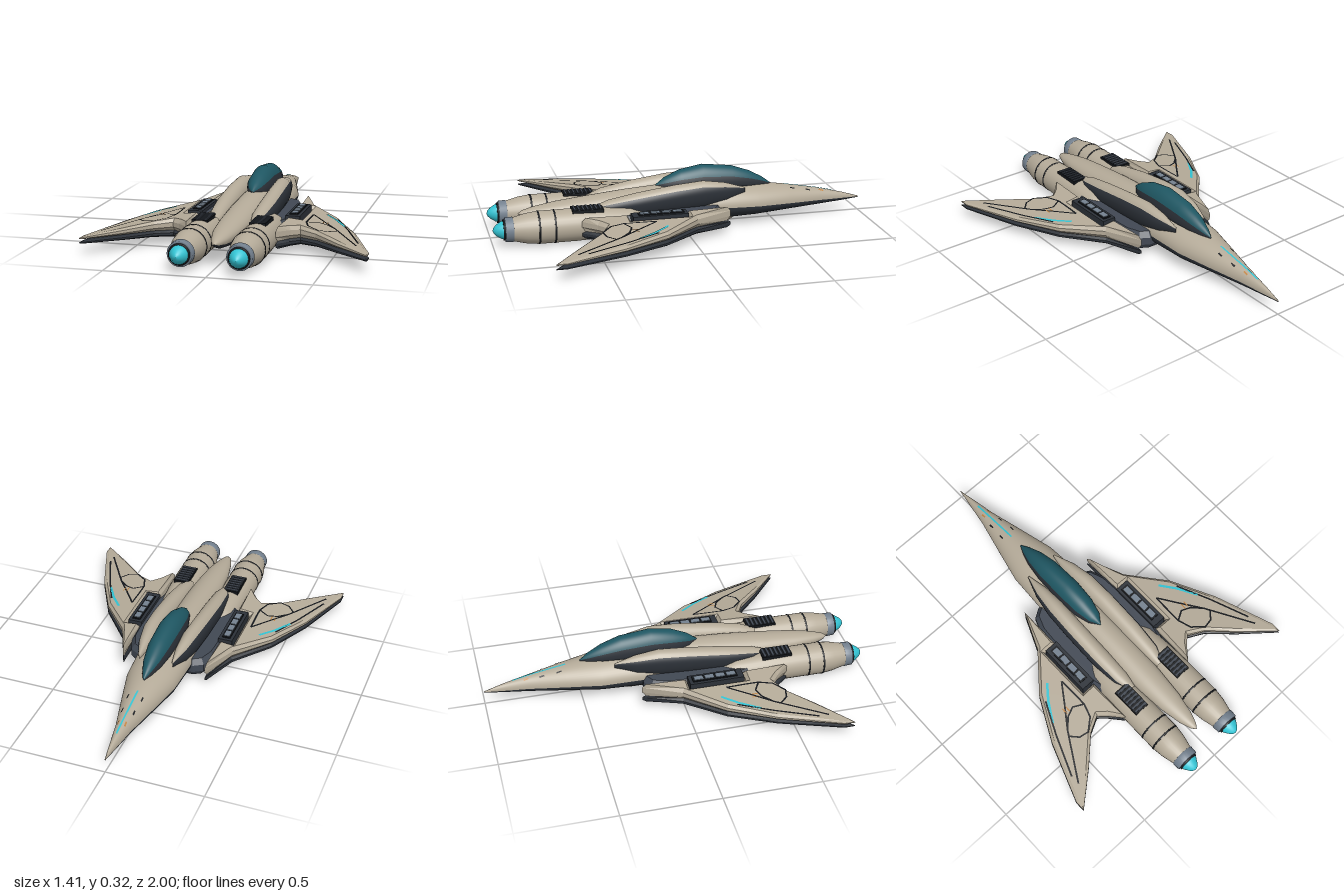
import * as THREE from 'three';

const mat = (name, color) => Object.assign(new THREE.MeshStandardMaterial({ color }), { name });
const M = {
  hull: mat('warm grey hull', 0xb5ab99),
  dark: mat('dark underside', 0x2c3138),
  slate: mat('slate panel', 0x414853),
  glass: mat('teal canopy', 0x1f5763),
  glow: mat('cyan glow', 0x33c3d3),
  line: mat('black seam', 0x14171b),
  steel: mat('blue steel', 0x74818f),
  orange: mat('orange mark', 0xc08545),
};
const lerp = THREE.MathUtils.lerp;

// Mirror a geometry across x = 0, keeping faces outward
function mirrored(geo) {
  const g = geo.index ? geo.toNonIndexed() : geo.clone();
  g.scale(-1, 1, 1);
  for (const a of Object.values(g.attributes)) {
    const n = a.itemSize, v = a.array;
    for (let i = 0; i < v.length; i += 3 * n)
      for (let k = 0; k < n; k++) [v[i + n + k], v[i + 2 * n + k]] = [v[i + 2 * n + k], v[i + n + k]];
  }
  return g;
}

// Skin over stations [z, centreX, halfWidth, top, mid, bottom], between two angles in degrees
function loft(stations, from, to, seg = 16) {
  const pos = [], idx = [];
  for (const [z, cx, hw, top, mid, bot] of stations)
    for (let j = 0; j <= seg; j++) {
      const a = THREE.MathUtils.degToRad(lerp(from, to, j / seg)), s = Math.sin(a);
      pos.push(cx + hw * Math.cos(a), mid + (s > 0 ? top - mid : mid - bot) * s, z);
    }
  for (let i = 0; i < stations.length - 1; i++)
    for (let j = 0; j < seg; j++) {
      const a = i * (seg + 1) + j, c = a + seg + 1;
      idx.push(a, a + 1, c, a + 1, c + 1, c);
    }
  return surface(pos, idx);
}

function surface(pos, idx) {
  const g = new THREE.BufferGeometry();
  g.setAttribute('position', new THREE.Float32BufferAttribute(pos, 3));
  g.setIndex(idx);
  g.computeVertexNormals();
  return g;
}

// Flat line along [x, z] points, lying on a height function
function ribbon(pts, width, height) {
  const pos = [], idx = [];
  pts.forEach(([x, z], i) => {
    const p = pts[Math.max(i - 1, 0)], q = pts[Math.min(i + 1, pts.length - 1)];
    const dx = q[0] - p[0], dz = q[1] - p[1], k = width / 2 / Math.hypot(dx, dz);
    for (const s of [1, -1]) {
      const px = x - dz * k * s, pz = z + dx * k * s;
      pos.push(px, height(px, pz) + 0.003, pz);
    }
    if (i) idx.push(2 * i - 2, 2 * i, 2 * i - 1, 2 * i - 1, 2 * i, 2 * i + 1);
  });
  return surface(pos, idx);
}

// Chamfered slab with an [x, z] outline and heights that depend on x
function slab(outline, top, bottom, bevel = 0.014) {
  const g = new THREE.ExtrudeGeometry(new THREE.Shape(outline.map(p => new THREE.Vector2(...p))), {
    depth: 0.4, bevelThickness: 0.3, bevelSize: bevel, bevelOffset: -bevel, bevelSegments: 1,
  });
  g.rotateX(Math.PI / 2);
  const p = g.attributes.position;
  for (let i = 0; i < p.count; i++) p.setY(i, lerp(bottom(p.getX(i)), top(p.getX(i)), p.getY(i) + 0.7));
  g.computeVertexNormals();
  return g;
}

const box = (w, h, d, x, y, z) => new THREE.BoxGeometry(w, h, d).translate(x, y, z);
const turned = pts => new THREE.LatheGeometry(pts.map(p => new THREE.Vector2(...p)), 28)
  .rotateX(Math.PI / 2).translate(0.143, 0.085, 0);

const FUSELAGE = [
  [-1, 0, 0.001, 0.076, 0.072, 0.068], [-0.9, 0, 0.018, 0.106, 0.075, 0.059],
  [-0.77, 0, 0.04, 0.137, 0.08, 0.05], [-0.58, 0, 0.087, 0.172, 0.09, 0.04],
  [-0.4, 0, 0.13, 0.197, 0.1, 0.03], [-0.2, 0, 0.142, 0.21, 0.108, 0.023],
  [0.1, 0, 0.142, 0.2, 0.108, 0.016], [0.35, 0, 0.13, 0.175, 0.1, 0.016],
  [0.5, 0, 0.09, 0.13, 0.09, 0.03], [0.6, 0, 0.01, 0.1, 0.09, 0.08],
];
const SPINE = [
  [-0.15, 0, 0.07, 0.215, 0.14, 0.08], [0.05, 0, 0.085, 0.222, 0.14, 0.06], [0.3, 0, 0.084, 0.205, 0.135, 0.05],
  [0.5, 0, 0.076, 0.185, 0.13, 0.055], [0.66, 0, 0.062, 0.168, 0.125, 0.065], [0.77, 0, 0.04, 0.15, 0.12, 0.08],
  [0.83, 0, 0.02, 0.135, 0.118, 0.1], [0.855, 0, 0.001, 0.119, 0.118, 0.117],
];
const CANOPY = [
  [-0.495, 0, 0.002, 0.19, 0.185, 0.18], [-0.45, 0, 0.024, 0.224, 0.19, 0.17], [-0.38, 0, 0.047, 0.262, 0.2, 0.17],
  [-0.28, 0, 0.063, 0.297, 0.21, 0.17], [-0.12, 0, 0.068, 0.315, 0.215, 0.17], [0, 0, 0.06, 0.293, 0.215, 0.17],
  [0.08, 0, 0.038, 0.258, 0.213, 0.18], [0.13, 0, 0.002, 0.222, 0.212, 0.2],
];
const SHOULDER = [
  [-0.33, 0.09, 0.004, 0.2, 0.19, 0.17], [-0.22, 0.1, 0.035, 0.236, 0.19, 0.13], [-0.1, 0.108, 0.048, 0.256, 0.195, 0.11],
  [0.05, 0.112, 0.05, 0.245, 0.185, 0.1], [0.25, 0.112, 0.05, 0.218, 0.165, 0.09],
  [0.4, 0.108, 0.042, 0.19, 0.15, 0.09], [0.48, 0.1, 0.02, 0.16, 0.14, 0.1],
];
const WING = [
  [0.225, -0.215], [0.31, -0.02], [0.47, 0.17], [0.59, 0.4], [0.705, 0.71], [0.705, 0.765], [0.535, 0.62],
  [0.41, 0.5], [0.325, 0.455], [0.285, 0.49], [0.225, 0.56], [0.225, 0.32], [0.298, 0.32], [0.298, 0.02], [0.225, 0.02],
];
const GLOVE = [[0, -0.19], [0.15, -0.19], [0.2, -0.16], [0.23, -0.08], [0.235, 0], [0.235, 0.3], [0.2, 0.44], [0, 0.46]];
const span = x => (x - 0.23) / 0.475;
const wingTop = x => lerp(0.145, 0.09, span(x));

// Height of the nose skin
function noseTop(x, z) {
  const i = FUSELAGE.findIndex(s => s[0] > z), a = FUSELAGE[i - 1], b = FUSELAGE[i];
  const [, , hw, top, mid] = a.map((v, k) => lerp(v, b[k], (z - a[0]) / (b[0] - a[0])));
  return mid + (top - mid) * Math.sqrt(Math.max(0, 1 - (x / hw) ** 2));
}

export function createModel() {
  const model = new THREE.Group();
  model.name = 'starfighter';
  const add = (name, geo, material) => {
    const m = new THREE.Mesh(geo, material);
    m.name = name;
    model.add(m);
  };
  const pair = (name, geo, material) => {
    add(name + 'Left', geo, material);
    add(name + 'Right', mirrored(geo), material);
  };

  // Body: pale above, dark below
  add('fuselageTop', loft(FUSELAGE, 0, 180, 28), M.hull);
  add('fuselageBelly', loft(FUSELAGE, 180, 360, 28), M.dark);
  add('spineTop', loft(SPINE, -25, 205, 28), M.hull);
  add('spineBelly', loft(SPINE, 205, 335), M.dark);
  add('canopyGlass', loft(CANOPY, 28, 152, 24), M.glass);
  pair('canopyFrame', loft(CANOPY, -60, 28, 10), M.dark);
  const patch = [[-0.06, -0.25], [0, -0.3], [0.06, -0.25], [0.065, 0.12], [0.03, 0.2], [-0.03, 0.2], [-0.065, 0.12]];
  add('bellyPanel', slab(patch, () => 0.021, () => 0.013, 0.002), M.hull);

  // Shoulder fairings beside the canopy
  pair('shoulderTop', loft(SHOULDER, 38, 200), M.hull);
  pair('shoulderSide', loft(SHOULDER, -80, 38), M.dark);

  // Nose markings
  add('noseStripe', ribbon([[0, -0.85], [0, -0.77], [0, -0.67], [0, -0.57]], 0.009, noseTop), M.glow);
  for (const [x, z, m] of [[0.019, -0.78, M.orange], [0.031, -0.7, M.line], [0.038, -0.61, M.line]])
    pair('noseMark', ribbon([[x, z - 0.013], [x, z + 0.013]], 0.007, noseTop), m);

  // Intake glove joining body and wings
  add('gloveLeft', slab(GLOVE, () => 0.13, () => 0.032, 0.02), M.slate);
  add('gloveRight', mirrored(slab(GLOVE, () => 0.13, () => 0.032, 0.02)), M.slate);

  // Layered swept wings
  pair('wingUpper', slab(WING, wingTop, x => lerp(0.072, 0.077, span(x))), M.hull);
  pair('wingLower', slab(WING, x => lerp(0.074, 0.068, span(x)), x => lerp(0.035, 0.055, span(x))), M.dark);
  const seams = [
    [[0.34, 0.2], [0.41, 0.3], [0.49, 0.41], [0.635, 0.65]],
    [[0.47, 0.22], [0.55, 0.39], [0.635, 0.6]],
    [[0.34, 0.2], [0.337, 0.3], [0.337, 0.37], [0.36, 0.44], [0.42, 0.49], [0.47, 0.48], [0.505, 0.44],
      [0.49, 0.41], [0.44, 0.36], [0.39, 0.34], [0.337, 0.37]],
  ];
  seams.forEach(s => pair('wingSeam', ribbon(s, 0.009, wingTop), M.line));
  pair('wingStripe', ribbon([[0.4, 0.155], [0.46, 0.23], [0.52, 0.33]], 0.013, wingTop), M.glow);
  for (const x of [0.415, 0.435]) pair('wingMark', ribbon([[x, 0.31], [x, 0.345]], 0.006, wingTop), M.orange);

  // Equipment bay in the wing root
  pair('bay', box(0.076, 0.115, 0.285, 0.253, 0.09, 0.167), M.dark);
  pair('bayTray', box(0.044, 0.006, 0.235, 0.253, 0.15, 0.16), M.line);
  for (let i = 0; i < 4; i++) pair('bayCell', box(0.03, 0.006, 0.046, 0.253, 0.153, 0.075 + i * 0.057), M.steel);
  pair('bayHatch', box(0.05, 0.005, 0.25, 0.253, 0.032, 0.167), M.slate);

  // Engines
  pair('engine', turned([[0, 0.2], [0.04, 0.22], [0.07, 0.3], [0.08, 0.45], [0.084, 0.58], [0.084, 0.77], [0.077, 0.83], [0.06, 0.9]]), M.hull);
  for (const z of [0.69, 0.77]) pair('engineBand', turned([[0.083, z - 0.005], [0.0856, z - 0.004], [0.0856, z + 0.004], [0.083, z + 0.005]]), M.line);
  pair('nozzle', turned([[0.055, 0.892], [0.064, 0.9], [0.062, 0.937], [0.052, 0.94], [0.046, 0.93]]), M.steel);
  pair('nozzleRing', turned([[0.053, 0.935], [0.053, 0.947], [0.045, 0.948]]), M.line);
  pair('exhaustGlow', turned([[0.047, 0.935], [0.045, 0.955], [0.028, 0.982], [0.014, 0.995], [0, 1]]), M.glow);

  // Slatted vents on the engines
  pair('vent', box(0.082, 0.03, 0.16, 0.145, 0.156, 0.52), M.line);
  for (let i = 0; i < 7; i++) pair('ventSlat', box(0.074, 0.006, 0.01, 0.145, 0.172, 0.454 + i * 0.022), M.slate);

  return model;
}
